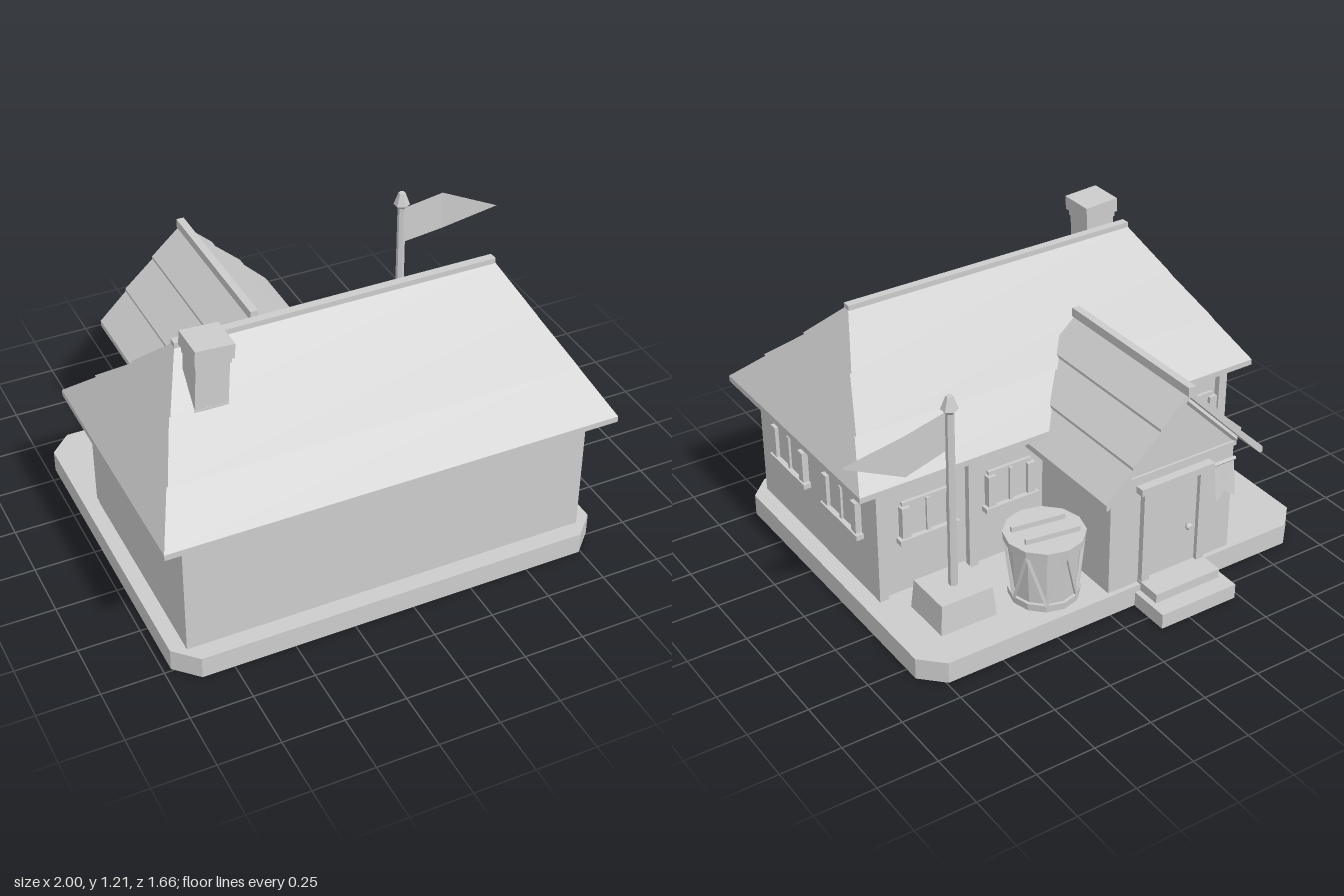
import * as THREE from 'three';

const grey = new THREE.MeshStandardMaterial({ color: 0xcccccc, side: THREE.DoubleSide });
grey.name = 'plain grey';

// Box face numbers, for leaving faces open
const TOP = 2, BOTTOM = 3;

// Faceted mesh from any geometry
function part(parent, name, geo) {
  const g = geo.index ? geo.toNonIndexed() : geo;
  g.computeVertexNormals();
  const m = new THREE.Mesh(g, grey);
  m.name = name;
  parent.add(m);
  return m;
}

// Tapered block: half sizes [x, z] at the bottom and at the top, some faces left open
function frustum(parent, name, cx, cz, y0, y1, low, high, open = []) {
  const g = new THREE.BoxGeometry(2, 1, 2);
  const p = g.attributes.position;
  for (let i = 0; i < p.count; i++) {
    const top = p.getY(i) > 0, s = top ? high : low;
    p.setXYZ(i, cx + p.getX(i) * s[0], top ? y1 : y0, cz + p.getZ(i) * s[1]);
  }
  g.setIndex([...g.index.array].filter((_, i) => !open.includes(Math.floor(i / 6))));
  return part(parent, name, g);
}

// Box given by its limits on each axis
function box(parent, name, x0, x1, y0, y1, z0, z1, open) {
  const half = [(x1 - x0) / 2, (z1 - z0) / 2];
  return frustum(parent, name, (x0 + x1) / 2, (z0 + z1) / 2, y0, y1, half, half, open);
}

function cylinder(parent, name, x, z, y0, y1, rLow, rHigh, sides) {
  const g = new THREE.CylinderGeometry(rHigh, rLow, y1 - y0, sides);
  g.translate(x, (y0 + y1) / 2, z);
  return part(parent, name, g);
}

// Thin bar between two points
function bar(parent, name, a, b, r, sides = 4) {
  const d = b.clone().sub(a);
  const m = part(parent, name, new THREE.CylinderGeometry(r, r, d.length(), sides));
  m.position.copy(a).addScaledVector(d, 0.5);
  m.quaternion.setFromUnitVectors(new THREE.Vector3(0, 1, 0), d.normalize());
  return m;
}

function extrude(parent, name, points, depth) {
  const shape = new THREE.Shape(points.map(([x, y]) => new THREE.Vector2(x, y)));
  return part(parent, name, new THREE.ExtrudeGeometry(shape, { depth, bevelEnabled: false }));
}

// Thin sheet made of flat polygons, each filled as a fan
function sheet(parent, name, polygons) {
  const pos = [];
  for (const q of polygons) {
    for (let i = 1; i < q.length - 1; i++) pos.push(...q[0], ...q[i], ...q[i + 1]);
  }
  const g = new THREE.BufferGeometry();
  g.setAttribute('position', new THREE.Float32BufferAttribute(pos, 3));
  return part(parent, name, g);
}

// Ground slab with clipped corners, hollow underneath
function groundSlab(parent) {
  const x0 = -0.97, x1 = 0.832, z0 = -0.655, z1 = 0.83, c = 0.09;
  const outline = [
    [x0, z0 + c], [x0, z1 - c], [x0 + c, z1], [x1 - c, z1],
    [x1, z1 - c], [x1, z0 + c], [x1 - c, z0], [x0 + c, z0],
  ];
  const ring = y => outline.map(([x, z]) => [x, y, z]);
  const low = ring(0), high = ring(0.092);
  const sides = low.map((p, i) => {
    const j = (i + 1) % low.length;
    return [high[i], p, low[j], high[j]];
  });
  sheet(parent, 'groundSlab', [high, ...sides]);
}

// Window facing +z, centred on its origin
function makeWindow(w) {
  const g = new THREE.Group();
  g.name = 'window';
  const h = w / 2;
  box(g, 'pane', -h + 0.01, h - 0.01, 0.345, 0.508, -0.01, 0.014);
  for (const s of [-1, 1]) {
    const x = s * (h - 0.018);
    box(g, 'shutter', x - 0.018, x + 0.018, 0.355, 0.492, 0, 0.03);
  }
  box(g, 'mullion', -0.008, 0.008, 0.35, 0.5, 0, 0.024);
  box(g, 'sill', -h - 0.013, h + 0.013, 0.33, 0.352, -0.01, 0.036);
  return g;
}

function mainHouse() {
  const g = new THREE.Group();
  g.name = 'mainHouse';
  box(g, 'mainWalls', -0.91, 0.765, 0.093, 0.625, -0.175, 0.76, [TOP, BOTTOM]);

  // Hollow hip roof in three overlapping tiers; the hip ends stay flat
  const ys = [0.64, 0.795, 0.95, 1.11], hz = [0.5375, 0.36, 0.18, 0.015];
  const halfX = y => 0.93 - (y - 0.64) * 0.27 / 0.47;
  box(g, 'eave', -1, 0.86, 0.615, 0.64, -0.245, 0.83, [TOP, BOTTOM]);
  for (let i = 0; i < 3; i++) {
    const y0 = ys[i] - (i ? 0.004 : 0), lip = i ? 0.013 : 0, tuck = i < 2 ? 0.004 : 0;
    frustum(g, 'roofTier', -0.07, 0.2925, y0, ys[i + 1], [halfX(y0), hz[i] + lip],
      [halfX(ys[i + 1]), hz[i + 1] - tuck], [TOP, BOTTOM]);
  }
  box(g, 'ridgeCap', -0.73, 0.59, 1.1, 1.13, 0.275, 0.31);

  // Leaning chimney
  const c = new THREE.Group();
  c.name = 'chimney';
  box(c, 'chimneyStack', -0.066, 0.066, -0.115, 0.1, -0.06, 0.06);
  box(c, 'chimneyCollar', -0.07, 0.07, 0.072, 0.097, -0.065, 0.065);
  box(c, 'chimneyCap', -0.077, 0.077, 0.097, 0.157, -0.076, 0.076);
  c.position.set(-0.658, 1.05, 0.425);
  c.rotation.z = -0.06;
  g.add(c);

  // Side windows and timbered rear wall
  for (const z of [0.485, 0.06]) {
    const w = makeWindow(0.265);
    w.position.set(0.762, 0, z);
    w.rotation.y = Math.PI / 2;
    g.add(w);
  }
  for (const x of [-0.89, -0.65, 0.34, 0.75]) box(g, 'rearPost', x - 0.02, x + 0.02, 0.1, 0.62, -0.202, -0.17);
  for (const [x, width] of [[-0.77, 0.18], [0.54, 0.24], [0.16, 0.22]]) {
    const w = makeWindow(width);
    w.position.set(x, 0, -0.175);
    w.rotation.y = Math.PI;
    g.add(w);
  }
  return g;
}

// Gabled entrance wing, built around x = 0
function entranceWing() {
  const g = new THREE.Group();
  g.name = 'entranceWing';
  extrude(g, 'wingWalls', [[-0.295, 0.093], [0.295, 0.093], [0.295, 0.62], [0, 0.922], [-0.295, 0.62]], 0.46).position.z = -0.635;

  const top = [[0.375, 0.554], [0.375, 0.579], [0.25, 0.7], [0.258, 0.693], [0.258, 0.705], [0.125, 0.824], [0.133, 0.817], [0.133, 0.829]];
  const mirror = top.map(([x, y]) => [-x, y]).reverse();
  extrude(g, 'wingRoof', [...top, [0, 0.948], ...mirror, [-0.362, 0.554], [0, 0.925], [0.362, 0.554]], 0.735).position.z = -0.715;
  box(g, 'wingRidgeCap', -0.016, 0.016, 0.935, 0.973, -0.722, 0.03);
  box(g, 'tieBeam', -0.3, 0.3, 0.575, 0.595, -0.645, -0.63);
  for (const s of [-1, 1]) {
    bar(g, 'gableTrim', new THREE.Vector3(s * 0.3, 0.6, -0.64), new THREE.Vector3(0, 0.905, -0.64), 0.012);
  }

  // Door and steps
  box(g, 'door', -0.12, 0.12, 0.1, 0.51, -0.642, -0.63);
  for (const s of [-1, 1]) box(g, 'doorJamb', s * 0.135 - 0.018, s * 0.135 + 0.018, 0.1, 0.525, -0.66, -0.63);
  box(g, 'lintel', -0.175, 0.175, 0.52, 0.55, -0.672, -0.63);
  const knob = part(g, 'doorKnob', new THREE.IcosahedronGeometry(0.016, 0));
  knob.position.set(-0.075, 0.28, -0.655);
  box(g, 'threshold', -0.155, 0.155, 0.093, 0.105, -0.657, -0.63);
  box(g, 'upperStep', -0.155, 0.155, 0.065, 0.105, -0.76, -0.657, [BOTTOM]);
  box(g, 'lowerStep', -0.18, 0.18, 0, 0.065, -0.835, -0.657, [BOTTOM]);

  // Small hanging banner by the door
  bar(g, 'bannerRod', new THREE.Vector3(-0.18, 0.53, -0.66), new THREE.Vector3(-0.285, 0.53, -0.66), 0.008, 6);
  sheet(g, 'banner', [[[-0.232, 0.4, -0.672], [-0.28, 0.365, -0.68], [-0.28, 0.53, -0.66], [-0.185, 0.53, -0.66], [-0.185, 0.365, -0.68]]]);
  g.position.x = -0.297;
  return g;
}

function drum() {
  const g = new THREE.Group();
  g.name = 'drum';
  const n = 12, at = (k, r, y) => new THREE.Vector3(r * Math.sin(k * Math.PI * 2 / n), y, r * Math.cos(k * Math.PI * 2 / n));
  cylinder(g, 'drumShell', 0, 0, 0.094, 0.37, 0.13, 0.15, n);
  cylinder(g, 'lowerRim', 0, 0, 0.093, 0.125, 0.142, 0.145, n);
  cylinder(g, 'upperRim', 0, 0, 0.345, 0.38, 0.16, 0.163, n);
  for (let k = 0; k < n; k++) {
    const up = k % 2 === 0;
    bar(g, 'drumCord', at(k, up ? 0.153 : 0.138, up ? 0.35 : 0.12), at(k + 1, up ? 0.138 : 0.153, up ? 0.12 : 0.35), 0.009);
  }
  // Drumsticks resting on the head
  for (const z of [-0.055, 0.045]) {
    const stick = box(g, 'drumstick', -0.115, 0.115, 0.378, 0.402, -0.008, 0.008);
    stick.position.z = z;
    stick.rotation.y = -0.15;
  }
  g.position.set(0.195, 0, -0.48);
  return g;
}

function flagpole() {
  const g = new THREE.Group();
  g.name = 'flagpole';
  frustum(g, 'pedestal', 0, 0, 0.093, 0.22, [0.124, 0.112], [0.114, 0.102]);
  cylinder(g, 'pole', 0, 0, 0.2, 1.0, 0.019, 0.017, 6);
  cylinder(g, 'finialBase', 0, 0, 0.985, 1.0, 0.02, 0.034, 6);
  cylinder(g, 'finial', 0, 0, 1.0, 1.055, 0.034, 0.014, 6);
  // Pennant bent once along its length
  const a = [0.01, 0.985, 0.01], b = [0.01, 0.82, 0.01], c = [0.215, 0.805, -0.04], d = [0.215, 0.978, -0.04];
  sheet(g, 'pennant', [[a, b, c, d], [d, c, [0.445, 0.89, 0.02]]]);
  g.position.set(0.555, 0, -0.393);
  return g;
}

export function createModel() {
  const model = new THREE.Group();
  model.name = 'house';
  groundSlab(model);
  model.add(mainHouse(), entranceWing(), drum(), flagpole());
  return model;
}
